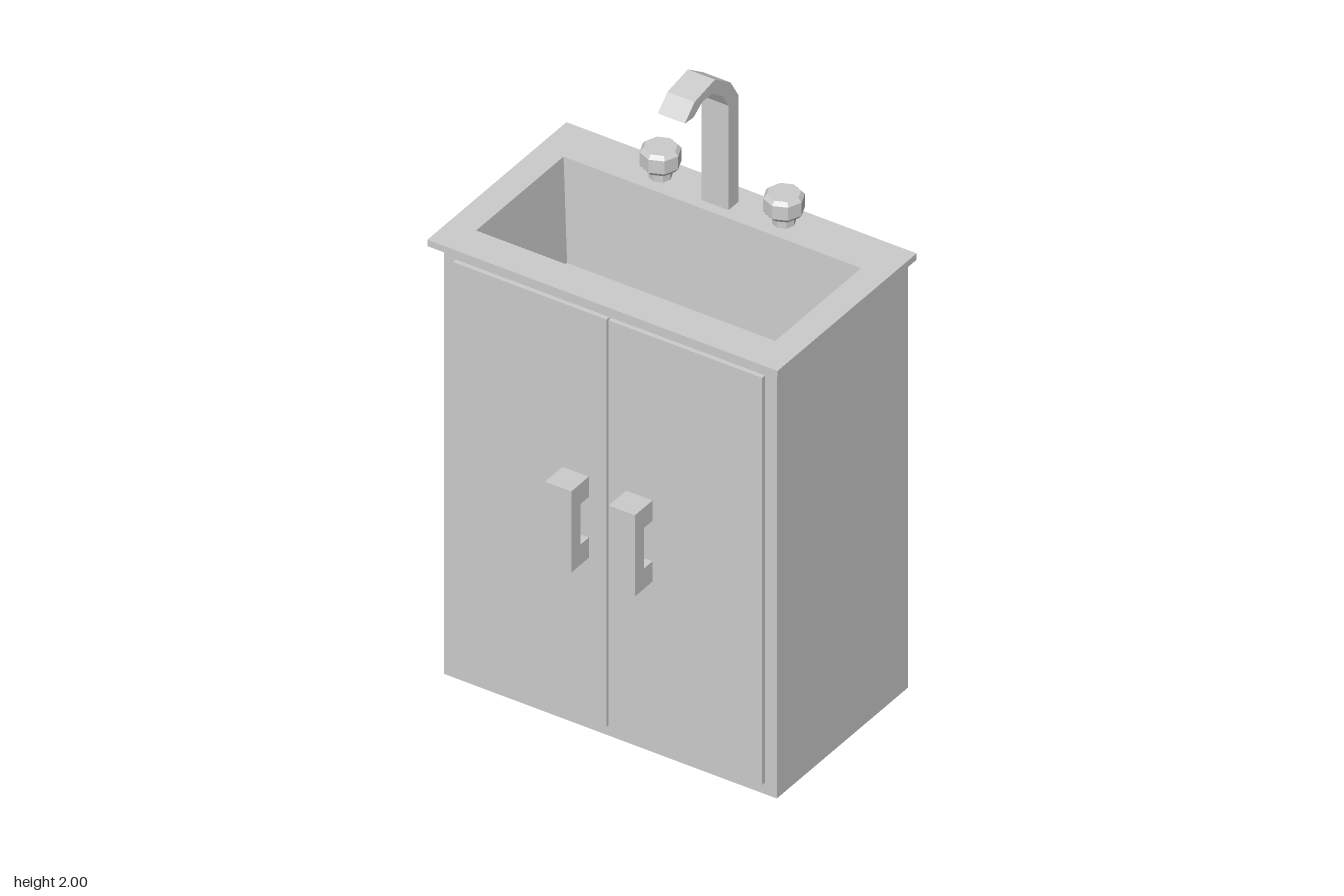
import * as THREE from 'three';

const material = new THREE.MeshStandardMaterial({ color: 0xcccccc, flatShading: true });

function add(parent, name, geometry, x = 0, y = 0, z = 0) {
  const mesh = new THREE.Mesh(geometry, material);
  mesh.name = name;
  mesh.position.set(x, y, z);
  parent.add(mesh);
  return mesh;
}

// Skin over rectangular rings [halfWidth, y, zBack, zFront], with optional end caps
function rectLoft(rings, capStart, capEnd) {
  const loops = rings.map(([w, y, z0, z1]) => [[-w, y, z0], [-w, y, z1], [w, y, z1], [w, y, z0]]);
  const pos = [];
  const quad = (a, b, c, d) => pos.push(...a, ...b, ...c, ...a, ...c, ...d);
  for (let r = 0; r < loops.length - 1; r++) {
    for (let i = 0; i < 4; i++) {
      const j = (i + 1) % 4;
      quad(loops[r][i], loops[r][j], loops[r + 1][j], loops[r + 1][i]);
    }
  }
  if (capStart) quad(...[...loops[0]].reverse());
  if (capEnd) quad(...loops[loops.length - 1]);
  const g = new THREE.BufferGeometry();
  g.setAttribute('position', new THREE.Float32BufferAttribute(pos, 3));
  g.computeVertexNormals();
  return g;
}

// Side profile of [z, y] points, given width along x and centred on x = 0
function sideProfile(points, width) {
  const shape = new THREE.Shape(points.map(([z, y]) => new THREE.Vector2(z, y)));
  const g = new THREE.ExtrudeGeometry(shape, { depth: width, bevelEnabled: false });
  return g.translate(0, 0, -width / 2).rotateY(-Math.PI / 2);
}

export function createModel() {
  const model = new THREE.Group();
  model.name = 'sinkCabinet';

  // Cabinet body, open beneath the countertop
  add(model, 'cabinet', rectLoft([[0.57, 0, -0.39, 0.285], [0.57, 1.488, -0.39, 0.285]], true, false));

  // Countertop with its overhang and the basin opening
  add(model, 'countertop', rectLoft([
    [0.51, 1.488, -0.24, 0.21],
    [0.6, 1.488, -0.39, 0.326],
    [0.6, 1.51, -0.39, 0.326],
    [0.51, 1.51, -0.24, 0.21],
  ], false, false));

  // Tapered basin
  add(model, 'basin', rectLoft([[0.51, 1.51, -0.24, 0.21], [0.488, 1.16, -0.225, 0.18]], false, true));

  // Doors with their bracket handles
  const handleGeometry = sideProfile([
    [0.3, 0.6], [0.39, 0.6], [0.39, 0.88], [0.3, 0.88],
    [0.3, 0.81], [0.343, 0.81], [0.343, 0.67], [0.3, 0.67],
  ], 0.09);
  for (const [side, s] of [['left', 1], ['right', -1]]) {
    add(model, side + 'Door', new THREE.BoxGeometry(0.527, 1.405, 0.02), s * 0.2665, 0.7425, 0.29);
    add(model, side + 'Handle', handleGeometry, s * 0.109, 0, 0);
  }

  // Faceted gooseneck faucet
  add(model, 'faucet', sideProfile([
    [-0.325, 1.505], [-0.275, 1.505], [-0.275, 1.87], [-0.245, 1.92], [-0.19, 1.96],
    [-0.14, 1.96], [-0.095, 1.932], [-0.05, 1.936], [-0.1, 1.982], [-0.205, 2.0],
    [-0.285, 1.945], [-0.325, 1.88],
  ], 0.093), -0.0145, 0, 0);

  // Eight-sided tap knobs
  const knobGeometry = new THREE.LatheGeometry([
    [0.035, 1.505], [0.035, 1.542], [0.05, 1.542], [0.061, 1.555],
    [0.061, 1.6], [0.05, 1.612], [0, 1.612],
  ].map(([r, y]) => new THREE.Vector2(r, y)), 8);
  add(model, 'leftKnob', knobGeometry, 0.197, 0, -0.312);
  add(model, 'rightKnob', knobGeometry, -0.226, 0, -0.312);

  return model;
}
